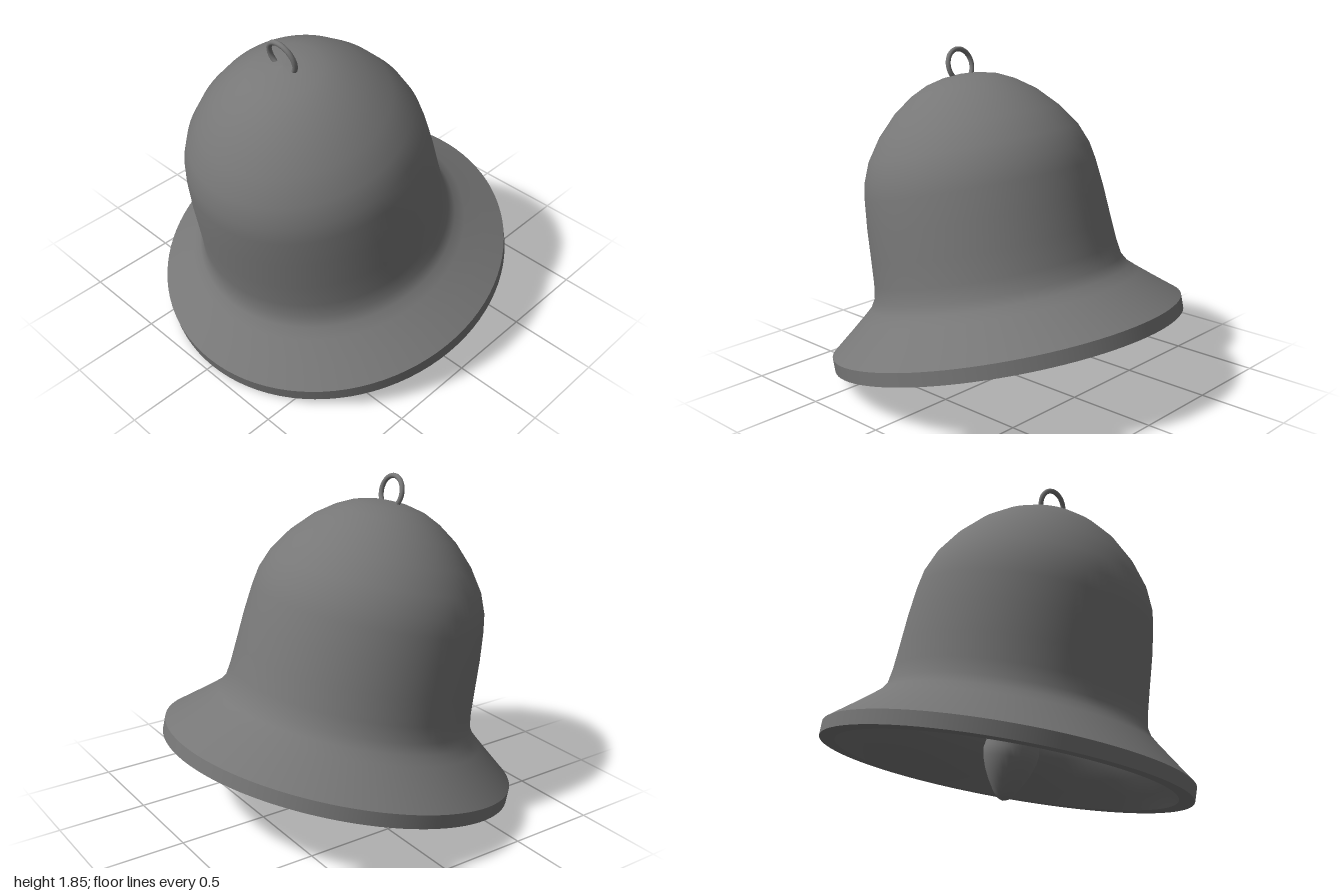
import * as THREE from 'three';

const material = new THREE.MeshStandardMaterial({ color: 0x777777 });

function add(parent, name, geometry) {
  const mesh = new THREE.Mesh(geometry, material);
  mesh.name = name;
  parent.add(mesh);
  return mesh;
}

// Surface of revolution from [radius, height] pairs
function lathe(profile, segments = 96) {
  return new THREE.LatheGeometry(profile.map(([r, y]) => new THREE.Vector2(r, y)), segments);
}

export function createModel() {
  const model = new THREE.Group();
  model.name = 'bell';

  // Everything is built upright, then the bell swings toward the front
  const swing = new THREE.Group();
  swing.name = 'swingingBell';
  swing.position.set(0, 0.245, -0.008);
  swing.rotation.x = 0.247;
  model.add(swing);

  // Outer shell, from the lip up to the crown
  add(swing, 'outerShell', lathe([
    [1, 0.075], [0.885, 0.168], [0.79, 0.247], [0.74, 0.292], [0.709, 0.345],
    [0.696, 0.43], [0.686, 0.57], [0.675, 0.74], [0.658, 0.9], [0.641, 0.995],
    [0.597, 1.105], [0.513, 1.228], [0.401, 1.344], [0.293, 1.42], [0.2, 1.465],
    [0.1, 1.489], [0, 1.497],
  ]));

  // Rim band and flat underside of the lip
  add(swing, 'rim', lathe([[1, 0], [1, 0.075]]));
  add(swing, 'lipUnderside', lathe([[0.918, 0], [1, 0]]));

  // Hollow interior, from the ceiling down to the lip
  add(swing, 'innerWall', lathe([
    [0.5, 1.08], [0.555, 0.96], [0.588, 0.8], [0.608, 0.62], [0.625, 0.45],
    [0.648, 0.33], [0.692, 0.24], [0.77, 0.145], [0.85, 0.07], [0.918, 0],
  ]));
  add(swing, 'innerCeiling', lathe([[0, 1.08], [0.5, 1.08]]));

  // Clapper: slim stem swelling into a pointed bulb
  const clapper = add(swing, 'clapper', lathe([
    [0, -0.147], [0.028, -0.137], [0.058, -0.105], [0.095, -0.045], [0.122, 0.01],
    [0.143, 0.07], [0.15, 0.12], [0.137, 0.19], [0.108, 0.27], [0.083, 0.34],
    [0.07, 0.42], [0.066, 0.6], [0.066, 1.09],
  ], 32));
  clapper.position.z = 0.014;

  // Hanging ring on the crown
  const ring = add(swing, 'hangingRing', new THREE.TorusGeometry(0.09, 0.014, 12, 40));
  ring.position.set(0, 1.545, -0.008);

  return model;
}
